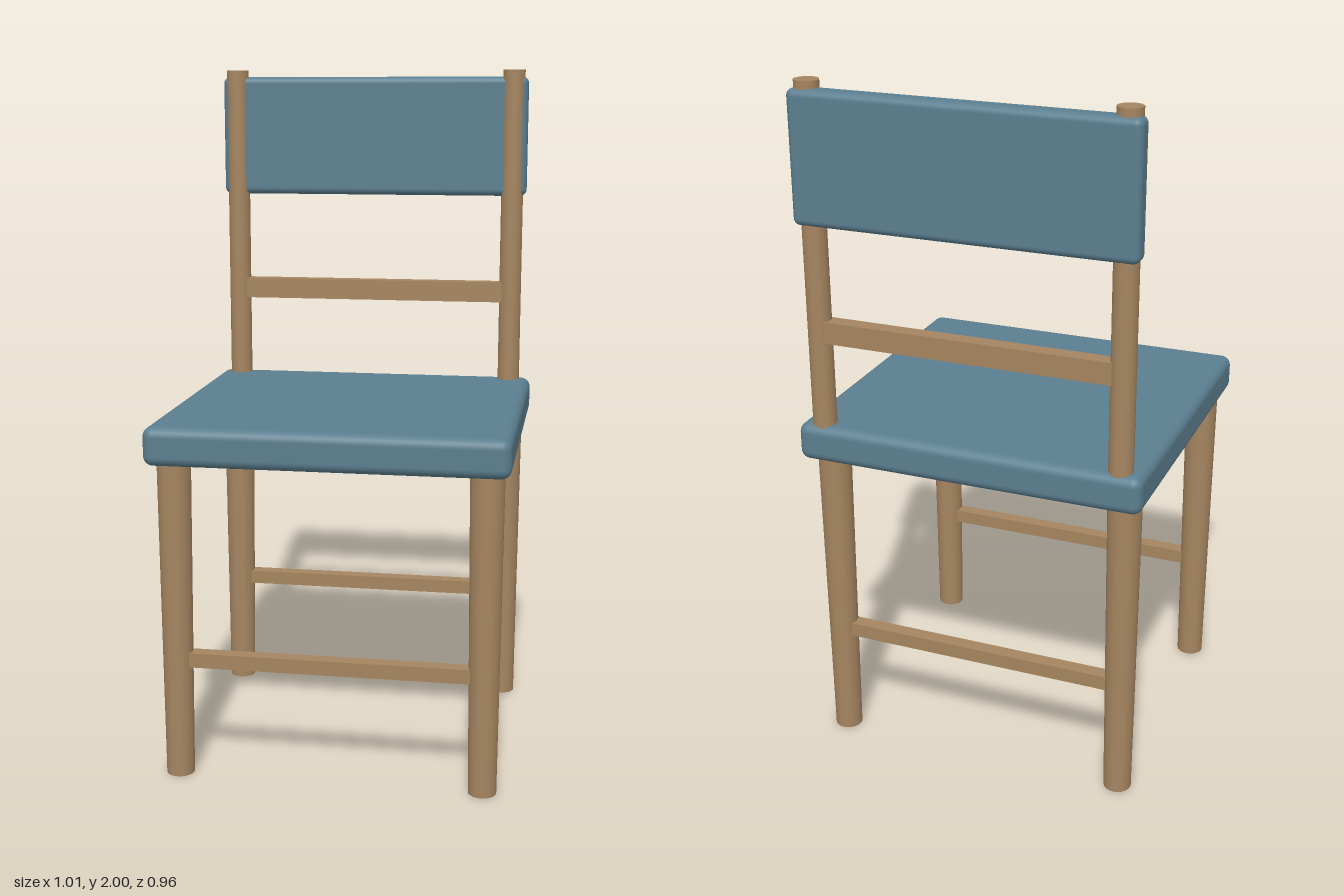
import * as THREE from 'three';
import { RoundedBoxGeometry } from 'three/addons/geometries/RoundedBoxGeometry.js';

export function createModel() {
  const chair = new THREE.Group();
  chair.name = 'chair';
  const wood = new THREE.MeshStandardMaterial({ color: 0xa58560 });
  wood.name = 'wood';
  const fabric = new THREE.MeshStandardMaterial({ color: 0x5b7e8f });
  fabric.name = 'blue upholstery';

  const add = (name, geometry, material, x, y, z) => {
    const mesh = new THREE.Mesh(geometry, material);
    mesh.name = name;
    mesh.position.set(x, y, z);
    chair.add(mesh);
  };

  // Upholstered seat and backrest
  add('seat', new RoundedBoxGeometry(1.01, 0.11, 0.962, 4, 0.028), fabric, 0, 0.98, 0);
  add('backrest', new RoundedBoxGeometry(0.962, 0.365, 0.064, 4, 0.02), fabric, 0, 1.797, -0.449);

  // Tapered legs and back posts
  const leg = new THREE.CylinderGeometry(0.048, 0.04, 0.94, 20);
  const post = new THREE.CylinderGeometry(0.034, 0.034, 1, 20);
  for (const [side, x] of [['left', 0.437], ['right', -0.437]]) {
    add(`${side}FrontLeg`, leg, wood, x, 0.47, 0.392);
    add(`${side}BackLeg`, leg, wood, x, 0.47, -0.392);
    add(`${side}BackPost`, post, wood, x, 1.5, -0.437);
  }

  // Cross rails
  const stretcher = new THREE.BoxGeometry(0.85, 0.042, 0.042);
  add('frontStretcher', stretcher, wood, 0, 0.348, 0.392);
  add('backStretcher', stretcher, wood, 0, 0.348, -0.392);
  add('backRail', new THREE.BoxGeometry(0.85, 0.063, 0.045), wood, 0, 1.313, -0.437);

  return chair;
}
